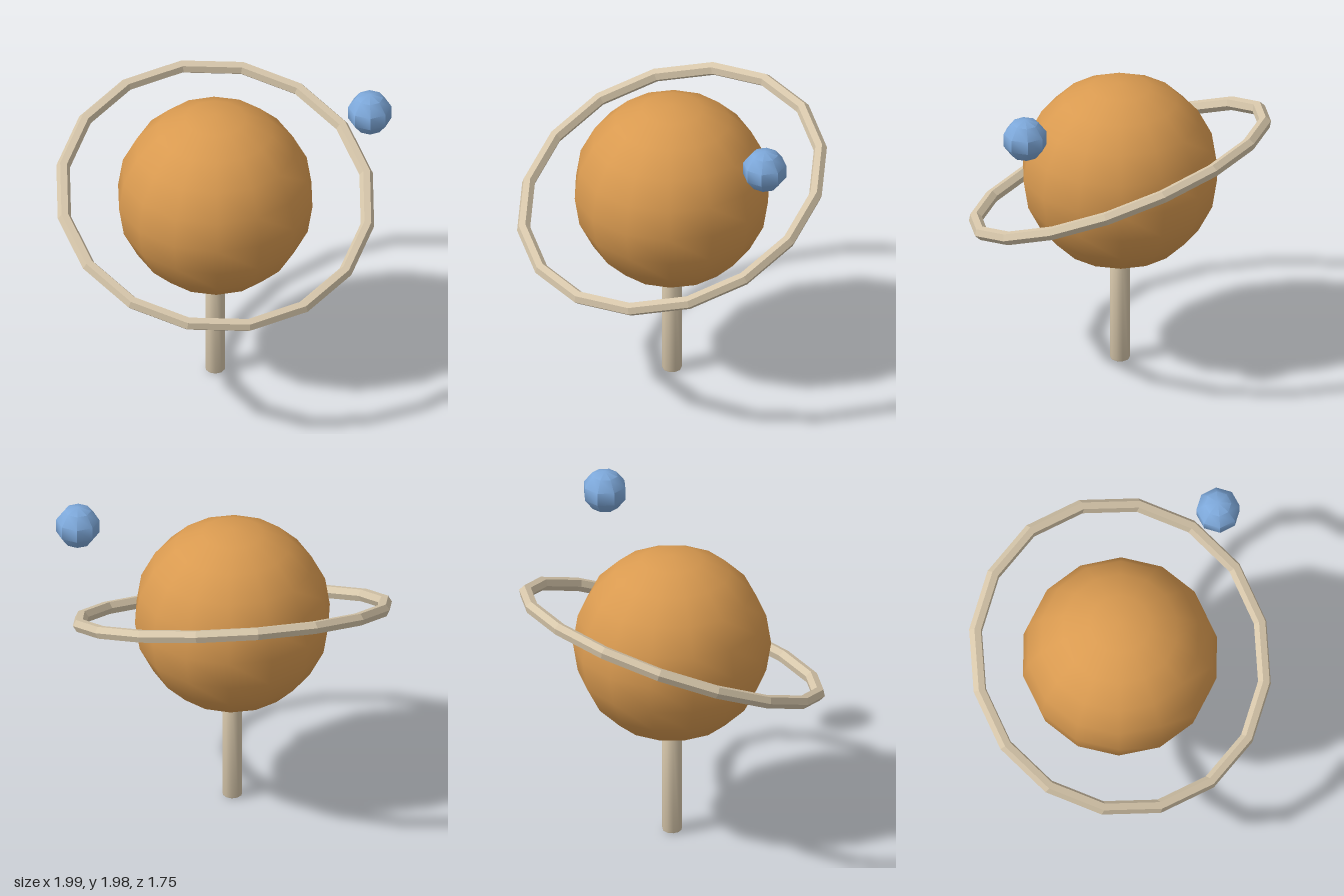
import * as THREE from 'three';
import { toCreasedNormals } from 'three/addons/utils/BufferGeometryUtils.js';

const CX = -0.055; // axis of the planet and its stand
const CY = 1.255; // height of the planet centre

function material(name, color, flatShading = false) {
  const m = new THREE.MeshStandardMaterial({ color, flatShading });
  m.name = name;
  return m;
}

export function createModel() {
  const model = new THREE.Group();
  const orange = material('orange', 0xd99a50);
  const sand = material('sand', 0xd6c6aa);
  const blue = material('blue', 0x7da8da);

  const add = (name, geometry, mat, x, y) => {
    const mesh = new THREE.Mesh(geometry, mat);
    mesh.name = name;
    mesh.position.set(x, y, 0);
    model.add(mesh);
    return mesh;
  };

  // Large low-poly planet with a corner facing front
  const planet = new THREE.SphereGeometry(0.59, 14, 10);
  planet.rotateY(Math.PI / 2);
  add('planet', planet, orange, CX, CY);

  // Tilted ring with a six-sided section
  const ring = new THREE.TorusGeometry(0.922, 0.041, 6, 16);
  ring.rotateZ(Math.PI / 16);
  ring.rotateX(Math.PI / 2);
  add('ring', toCreasedNormals(ring, 0.3), sand, CX, CY)
    .rotation.set(0.4, 0, -0.07);

  // Stand with softened ends
  const profile = [[0, 0], [0.045, 0], [0.057, 0.006], [0.06, 0.016],
    [0.06, 0.645], [0.057, 0.655], [0.045, 0.661], [0, 0.661]];
  const stand = new THREE.LatheGeometry(profile.map(([r, y]) => new THREE.Vector2(r, y)), 10);
  add('stand', toCreasedNormals(stand, 0.8), sand, CX, 0);

  // Small moon floating beside the planet
  const moon = new THREE.SphereGeometry(0.131, 8, 5);
  moon.scale(1.04, 1, 1.04);
  add('moon', toCreasedNormals(moon, 0.7), blue, 0.865, 1.845);

  return model;
}
